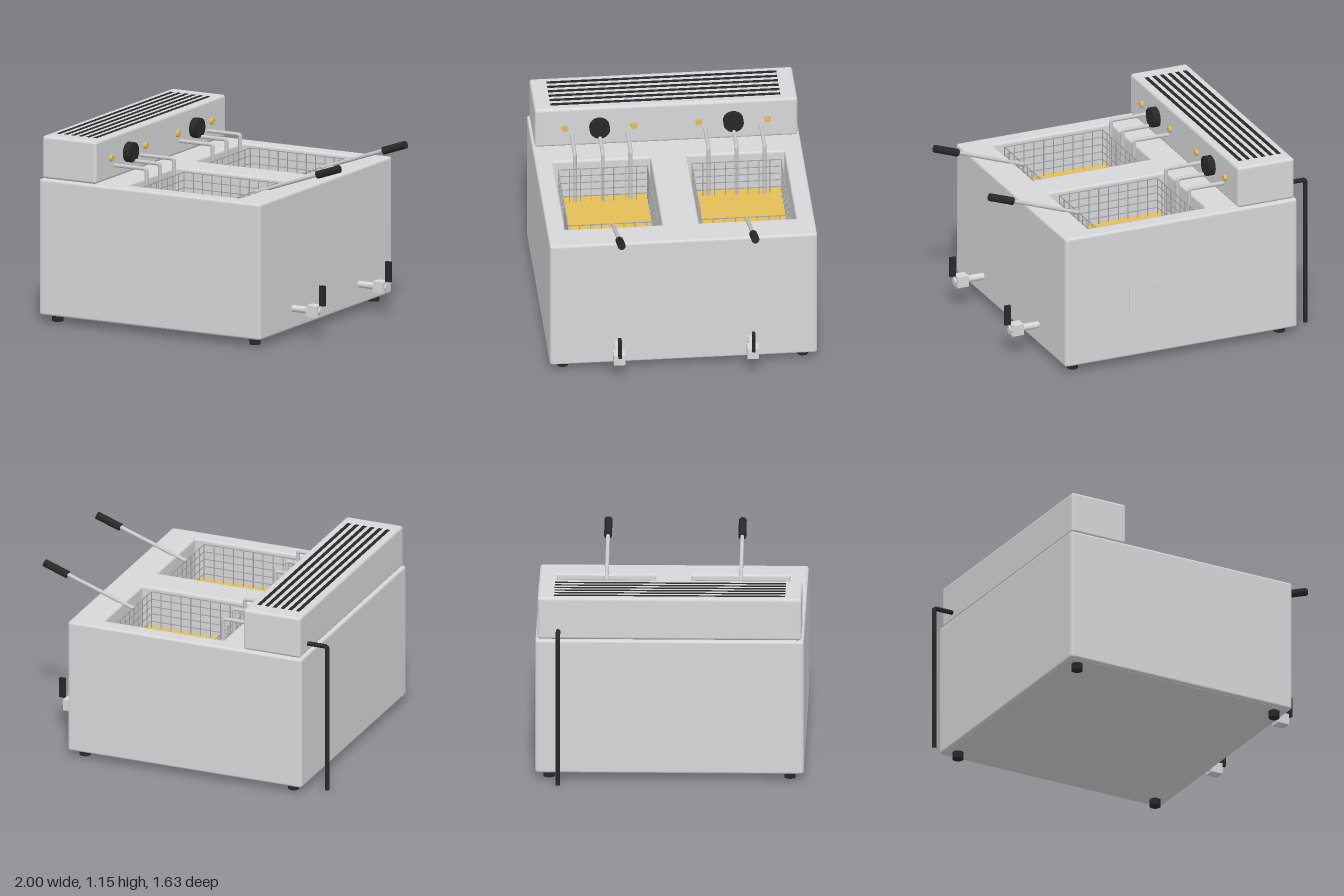
import * as THREE from 'three';
import { mergeGeometries } from 'three/addons/utils/BufferGeometryUtils.js';
import { RoundedBoxGeometry } from 'three/addons/geometries/RoundedBoxGeometry.js';

const material = (name, color) => {
  const m = new THREE.MeshStandardMaterial({ color });
  m.name = name;
  return m;
};

export function createModel() {
  const model = new THREE.Group();
  model.name = 'doubleDeepFryer';
  const steel = material('brushed steel', 0xd6d7d9);
  const wire = material('wire steel', 0xa2a5a8);
  const tubeSteel = material('tube steel', 0xc8c9cb);
  const black = material('black plastic', 0x28282a);
  const gold = material('golden oil and lamps', 0xe4bd55);

  const add = (name, geometry, mat, x = 0, y = 0, z = 0, parent = model) => {
    const mesh = new THREE.Mesh(geometry, mat);
    mesh.name = name;
    mesh.position.set(x, y, z);
    parent.add(mesh);
    return mesh;
  };
  const box = (w, h, d) => new THREE.BoxGeometry(w, h, d);
  const boxAt = (w, h, d, x, y, z) => box(w, h, d).translate(x, y, z);
  const rodX = (r, length) => new THREE.CylinderGeometry(r, r, length, 24).rotateZ(-Math.PI / 2);
  // cylinder between two points of the z = 0 plane
  const rodBetween = (r, x0, y0, x1, y1) => {
    const dx = x1 - x0, dy = y1 - y0;
    return new THREE.CylinderGeometry(r, r, Math.hypot(dx, dy), 16)
      .rotateZ(Math.atan2(dy, dx) - Math.PI / 2)
      .translate((x0 + x1) / 2, (y0 + y1) / 2, 0);
  };
  // tube along straight runs with small rounded corners
  const bentTube = (points, r, bend) => {
    const p = points.map(([x, y]) => new THREE.Vector3(x, y, 0));
    const path = new THREE.CurvePath();
    let start = p[0];
    for (let i = 1; i < p.length - 1; i++) {
      const a = p[i].clone().add(p[i - 1].clone().sub(p[i]).setLength(bend));
      const b = p[i].clone().add(p[i + 1].clone().sub(p[i]).setLength(bend));
      path.add(new THREE.LineCurve3(start, a));
      path.add(new THREE.QuadraticBezierCurve3(a, p[i], b));
      start = b;
    }
    path.add(new THREE.LineCurve3(start, p[p.length - 1]));
    return new THREE.TubeGeometry(path, 100, r, 12);
  };

  // Housing with two open tanks
  const rect = (path, x0, x1, y0, y1, r) => {
    path.moveTo(x0 + r, y0);
    path.lineTo(x1 - r, y0).quadraticCurveTo(x1, y0, x1, y0 + r);
    path.lineTo(x1, y1 - r).quadraticCurveTo(x1, y1, x1 - r, y1);
    path.lineTo(x0 + r, y1).quadraticCurveTo(x0, y1, x0, y1 - r);
    path.lineTo(x0, y0 + r).quadraticCurveTo(x0, y0, x0 + r, y0);
    return path;
  };
  const bevel = 0.014, bottom = 0.044, top = 0.886;
  const outline = rect(new THREE.Shape(), -0.875, 0.666, -0.814, 0.814, 0.022);
  for (const [a, b] of [[-0.703, -0.112], [0.112, 0.703]]) {
    outline.holes.push(rect(new THREE.Path(), -0.316, 0.468, a, b, 0.004));
  }
  const housing = new THREE.ExtrudeGeometry(outline, {
    depth: top - bottom - 2 * bevel, bevelEnabled: true, bevelSize: bevel, bevelThickness: bevel,
    bevelOffset: -bevel, bevelSegments: 4, curveSegments: 4,
  }).rotateX(-Math.PI / 2).translate(0, bottom + bevel, 0);
  add('housing', housing, steel);
  add('bottomPlate', box(1.5, 0.01, 1.58), steel, -0.105, bottom + 0.004, 0);
  add('backPlate', box(0.28, 0.17, 0.006), steel, 0.105, 0.425, -0.8135);

  // Control box with vent slots
  add('controlBox', new RoundedBoxGeometry(0.375, 0.264, 1.6, 4, 0.018), steel, -0.673, 1.02, 0);
  for (let i = 0; i < 6; i++) {
    add('ventSlot', box(0.025, 0.004, 1.4), black, -0.803 + i * 0.051, 1.151, 0);
  }

  // Feet
  for (const x of [-0.79, 0.584]) {
    for (const z of [-0.73, 0.73]) {
      add('foot', new THREE.CylinderGeometry(0.034, 0.034, 0.05, 24), black, x, 0.025, z);
    }
  }

  // Mains cable
  add('powerCable', bentTube([[-0.86, 0.941], [-0.987, 0.941], [-0.987, 0.003]], 0.014, 0.014), black, 0, 0, -0.675);

  // Wire basket walls and floor
  const basketGeometry = () => {
    const parts = [], t = 0.005;
    const x0 = -0.248, x1 = 0.402, z1 = 0.272, y0 = 0.58, y1 = 0.868;
    const w = x1 - x0, h = y1 - y0, cx = (x0 + x1) / 2, cy = (y0 + y1) / 2;
    const nx = 10, nz = 8, ny = 6;
    for (let i = 0; i <= nx; i++) {
      const x = x0 + (w * i) / nx;
      for (const z of [-z1, z1]) parts.push(boxAt(t, h, t, x, cy, z));
      parts.push(boxAt(t, t, 2 * z1, x, y0, 0));
    }
    for (let i = 0; i <= nz; i++) {
      const z = -z1 + (2 * z1 * i) / nz;
      for (const x of [x0, x1]) parts.push(boxAt(t, h, t, x, cy, z));
      parts.push(boxAt(w, t, t, cx, y0, z));
    }
    for (let i = 0; i <= ny; i++) {
      const y = y0 + (h * i) / ny;
      for (const z of [-z1, z1]) parts.push(boxAt(w + t, t, t, cx, y, z));
      for (const x of [x0, x1]) parts.push(boxAt(t, t, 2 * z1, x, y, 0));
    }
    return mergeGeometries(parts);
  };

  // One frying station per tank
  for (const side of [-1, 1]) {
    const station = new THREE.Group();
    station.name = side > 0 ? 'frontStation' : 'rearStation';
    station.position.z = side * 0.407;
    model.add(station);
    const put = (name, geometry, mat, x, y, z) => add(name, geometry, mat, x, y, z, station);

    put('oilSurface', box(0.79, 0.008, 0.6), gold, 0.076, 0.63, 0);
    put('basket', basketGeometry(), wire);
    put('basketHandle', rodBetween(0.012, 0.4, 0.862, 0.86, 1.024), tubeSteel);
    put('handleGrip', rodBetween(0.024, 0.835, 1.014, 0.99, 1.068), black);

    // Heating tubes reaching from the control box into the oil
    for (const z of [-0.17, 0, 0.17]) {
      put('heatingTube', bentTube([[-0.5, 0.968], [-0.26, 0.968], [-0.26, 0.6]], 0.012, 0.013), tubeSteel, 0, 0, z);
    }

    // Thermostat knob and lamps
    put('knob', rodX(0.062, 0.045), black, -0.464, 1.02, 0);
    put('knobPointer', box(0.016, 0.11, 0.028), black, -0.439, 1.022, 0);
    for (const z of [-0.21, 0.21]) {
      put('lamp', rodX(0.02, 0.025), gold, -0.48, 1.02, z);
    }

    // Drain tap
    put('drainPipe', rodX(0.021, 0.21), steel, 0.758, 0.17, 0);
    put('drainValve', box(0.075, 0.07, 0.07), steel, 0.814, 0.17, 0);
    put('drainLever', box(0.038, 0.125, 0.02), black, 0.871, 0.268, 0);
  }
  return model;
}
